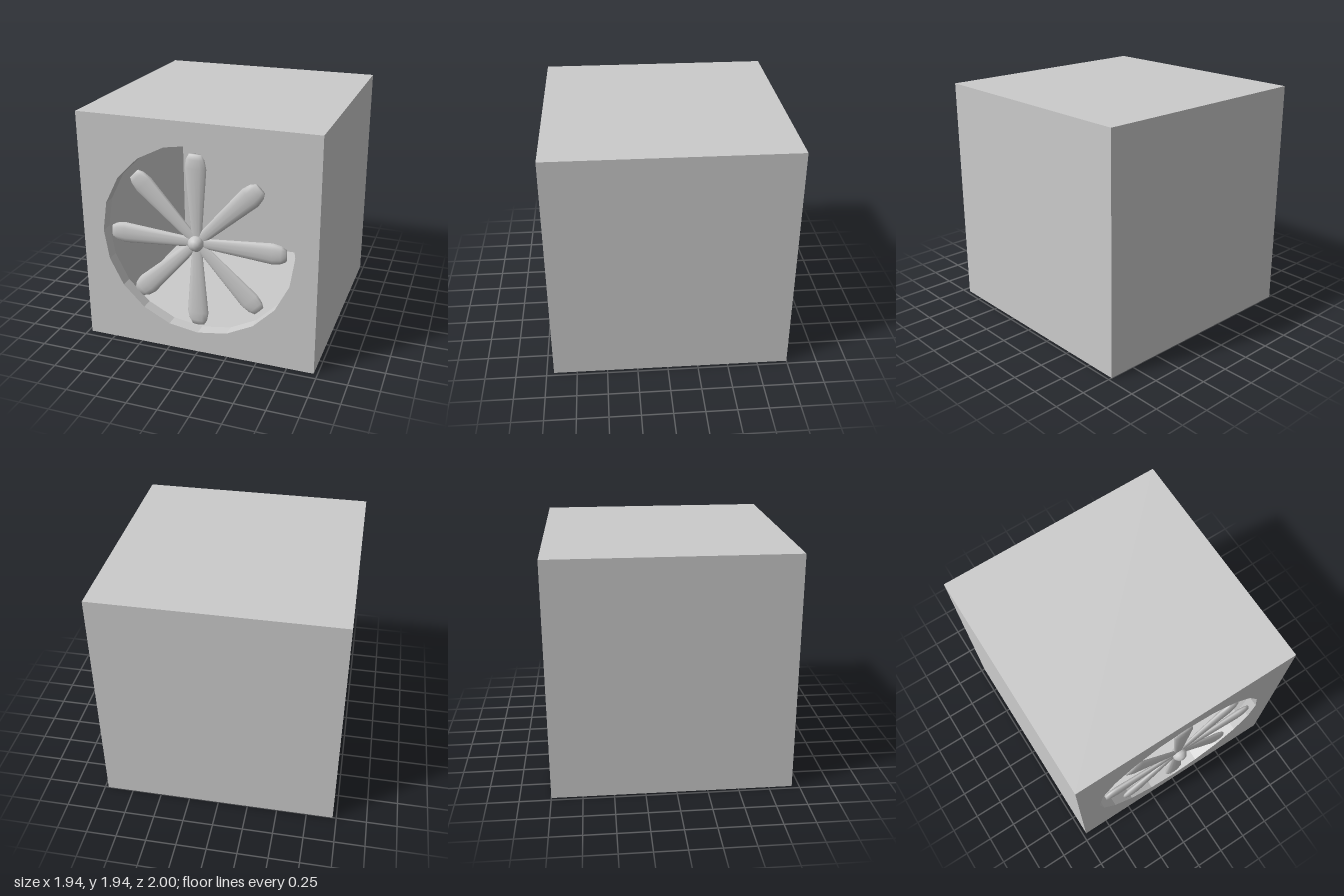
import * as THREE from 'three';

const HALF = 0.97;      // half width of the cabinet
const FRONT = 0.94;     // z of the front face
const WALL = 0.1;
const HOLE = 0.793;     // radius of the round opening
const SIDES = 20;

const grey = (options = {}) => new THREE.MeshStandardMaterial({ color: 0xcccccc, ...options });

function addMesh(parent, name, geometry, material) {
  const mesh = new THREE.Mesh(geometry, material);
  mesh.name = name;
  parent.add(mesh);
  return mesh;
}

// Cube without its +z face, so a pierced panel can close it
function openCube(size) {
  const geometry = new THREE.BoxGeometry(size, size, size);
  const index = Array.from(geometry.index.array);
  index.splice(24, 6);
  geometry.setIndex(index);
  geometry.clearGroups();
  return geometry;
}

// Square panel with the round opening
function piercedPanel(half) {
  const shape = new THREE.Shape([
    new THREE.Vector2(-half, -half), new THREE.Vector2(half, -half),
    new THREE.Vector2(half, half), new THREE.Vector2(-half, half),
  ]);
  const ring = [];
  for (let i = 0; i < SIDES; i++) {
    const a = -i / SIDES * Math.PI * 2;
    ring.push(new THREE.Vector2(Math.cos(a) * HOLE, Math.sin(a) * HOLE));
  }
  shape.holes.push(new THREE.Path(ring));
  return new THREE.ShapeGeometry(shape);
}

function createCabinet() {
  const cabinet = new THREE.Group();
  cabinet.name = 'cabinet';
  const inner = HALF - WALL;
  const midZ = FRONT - HALF;

  addMesh(cabinet, 'outerWalls', openCube(HALF * 2), grey()).position.z = midZ;
  addMesh(cabinet, 'innerWalls', openCube(inner * 2), grey({ side: THREE.BackSide })).position.z = midZ;
  addMesh(cabinet, 'frontPanel', piercedPanel(HALF), grey()).position.z = FRONT;
  addMesh(cabinet, 'frontPanelInside', piercedPanel(inner), grey({ side: THREE.BackSide })).position.z = FRONT - WALL;

  const rim = new THREE.CylinderGeometry(HOLE, HOLE, WALL, SIDES, 1, true);
  rim.rotateX(Math.PI / 2);
  addMesh(cabinet, 'openingRim', rim, grey({ side: THREE.BackSide, flatShading: true })).position.z = FRONT - WALL / 2;
  return cabinet;
}

function createFan() {
  const fan = new THREE.Group();
  fan.name = 'fan';

  // Flattened paddle, widening outwards to a blunt tip: [half width, distance from hub]
  const profile = [[0, 0.03], [0.04, 0.03], [0.088, 0.61], [0.074, 0.68], [0.05, 0.72], [0, 0.72]]
    .map(([w, r]) => new THREE.Vector2(w, r));
  const bladeGeometry = new THREE.LatheGeometry(profile, 12);
  bladeGeometry.scale(1, 1, 0.32);
  const material = grey();
  for (let i = 0; i < 8; i++) {
    const blade = addMesh(fan, 'blade' + (i + 1), bladeGeometry, material);
    blade.position.z = 0.917;
    blade.rotation.z = i * Math.PI / 4;
  }

  // Small knob at the centre
  const hub = new THREE.SphereGeometry(0.065, 16, 5);
  hub.rotateX(Math.PI / 2);
  addMesh(fan, 'hub', hub, material).position.z = 0.935;
  return fan;
}

export function createModel() {
  const model = new THREE.Group();
  model.name = 'boxFan';
  const cabinet = createCabinet();
  const fan = createFan();
  cabinet.position.y = HALF;
  fan.position.y = HALF;
  model.add(cabinet, fan);
  return model;
}
